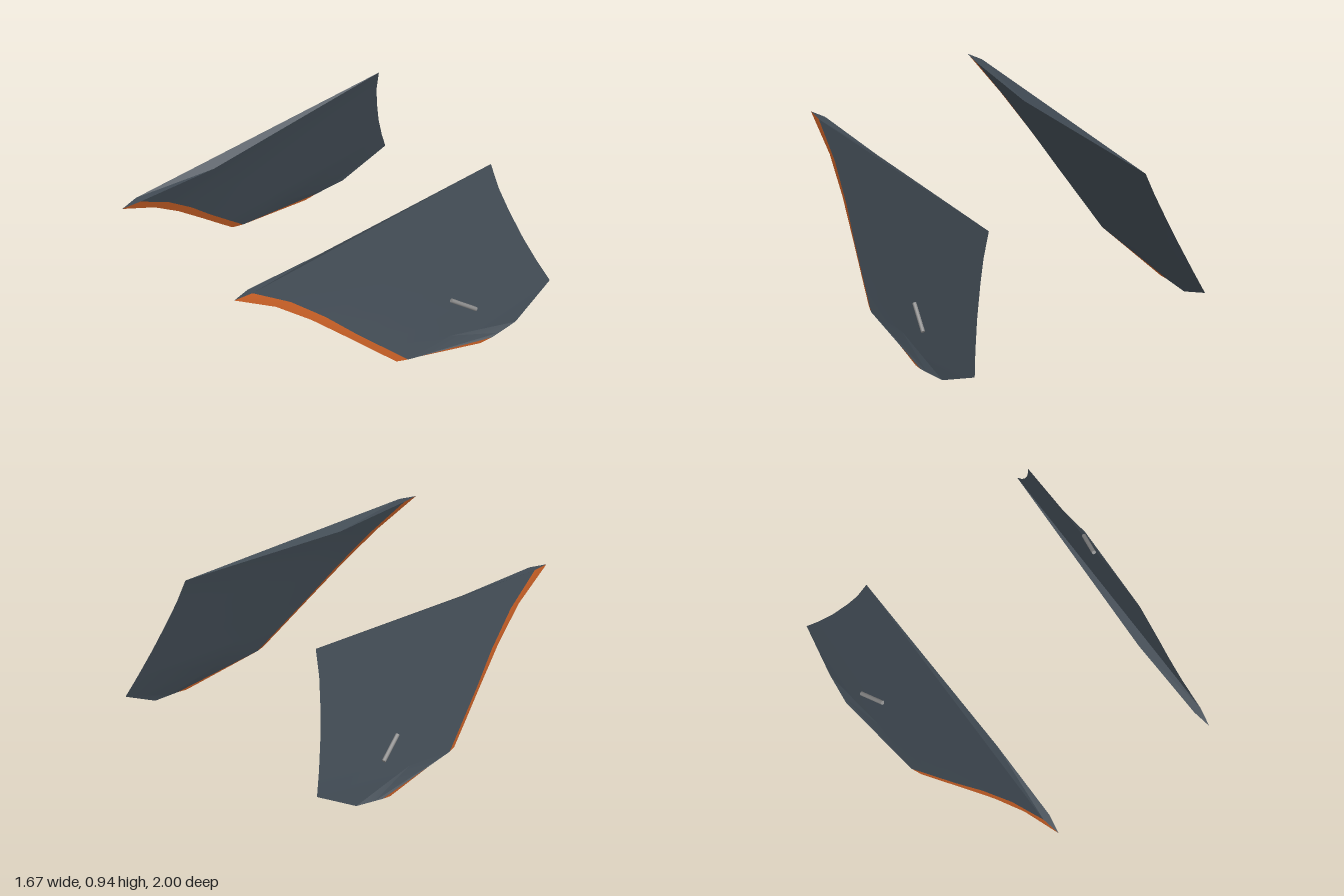
import * as THREE from 'three';
import { toCreasedNormals } from 'three/addons/utils/BufferGeometryUtils.js';

const finMat = new THREE.MeshStandardMaterial({ color: 0x414b54 });
const edgeMat = new THREE.MeshStandardMaterial({ color: 0xd9682a });
const pinMat = new THREE.MeshStandardMaterial({ color: 0x8a8a8a });

// Rows from top to bottom, each as [z, y]: leading edge, bevel line, trailing edge
const ROWS = [
  [[1.0, 0.78], [0.89, 0.795], [-0.77, 0.94]],
  [[0.745, 0.65], [0.66, 0.66], [-0.79, 0.79]],
  [[0.54, 0.5], [0.46, 0.5], [-0.825, 0.65]],
  [[0.33, 0.32], [0.3, 0.35], [-0.88, 0.47]],
  [[0.17, 0.18], [0.14, 0.21], [-0.94, 0.31]],
  [[0.06, 0.085], [0, 0.088], [-0.995, 0.182]],
];

// Leaning mid-plane of the blade at its front and back
const frontX = (y) => 0.525 + (0.78 - y) * 0.352;
const backX = (y) => 0.525 + (0.94 - y) * 0.325;
const V = (x, y, z) => new THREE.Vector3(x, y, z);

// Cross-section loop: outer bevel, outer middle, trailing edge, inner middle, inner bevel, leading edge
function section(outer, inner, lead, trail, bulge, dip) {
  const outerMid = outer.clone().lerp(trail, 0.3);
  const innerMid = inner.clone().lerp(trail, 0.3).add(V(-bulge, -dip, 0));
  return [outer, outerMid, trail, innerMid, inner, lead];
}

function sections() {
  const list = ROWS.map(([k, o, b], r) => section(
    V(frontX(o[1]) + 0.027, o[1], o[0]),
    V(frontX(o[1]) - 0.016, o[1], o[0]),
    V(frontX(k[1]), k[1], k[0]),
    V(backX(b[1]), b[1], b[0]),
    0.018 * (1 - r / 5), r === 0 ? 0.03 : 0));
  list.push(section(V(0.834, 0.02, -0.55), V(0.817, 0.016, -0.55),
    V(0.82, 0.003, -0.48), V(0.81, 0.035, -0.73), 0, 0));
  return list;
}

// Turns triangles into a mesh, mirrored for side = -1
function faces(name, tris, side, mat) {
  const pts = [];
  for (const [a, b, c] of tris) {
    for (const p of side > 0 ? [a, b, c] : [a, c, b]) pts.push(p.x * side, p.y, p.z);
  }
  const geo = new THREE.BufferGeometry();
  geo.setAttribute('position', new THREE.Float32BufferAttribute(pts, 3));
  const mesh = new THREE.Mesh(toCreasedNormals(geo, 0.25), mat);
  mesh.name = name;
  return mesh;
}

function makeFin(side) {
  const rows = sections();
  const blade = [], edge = [];
  for (let r = 0; r < rows.length - 1; r++) {
    for (let i = 0; i < 6; i++) {
      const j = (i + 1) % 6;
      const a = rows[r][i], b = rows[r + 1][i], c = rows[r + 1][j], d = rows[r][j];
      (i >= 4 ? edge : blade).push([a, b, c], [a, c, d]);
    }
  }
  // Top strip and thin underside
  const cap = [[0, 1, 3], [0, 3, 4], [1, 2, 3], [5, 0, 4]];
  const last = rows[rows.length - 1];
  for (const [a, b, c] of cap) {
    blade.push([rows[0][a], rows[0][b], rows[0][c]], [last[a], last[c], last[b]]);
  }

  // Small pin lying through the blade near its lower edge
  const p = V(0.736 * side, 0.31, -0.342), q = V(0.774 * side, 0.21, -0.485);
  const dir = q.clone().sub(p);
  const pin = new THREE.Mesh(new THREE.CylinderGeometry(0.012, 0.012, dir.length(), 10), pinMat);
  pin.position.copy(p).add(q).multiplyScalar(0.5);
  pin.quaternion.setFromUnitVectors(V(0, 1, 0), dir.normalize());
  pin.name = 'pin';

  const fin = new THREE.Group();
  fin.name = side > 0 ? 'leftFin' : 'rightFin';
  fin.add(faces('blade', blade, side, finMat), faces('leadingEdge', edge, side, edgeMat), pin);
  return fin;
}

export function createModel() {
  const model = new THREE.Group();
  model.name = 'finPair';
  model.add(makeFin(1), makeFin(-1));
  return model;
}
